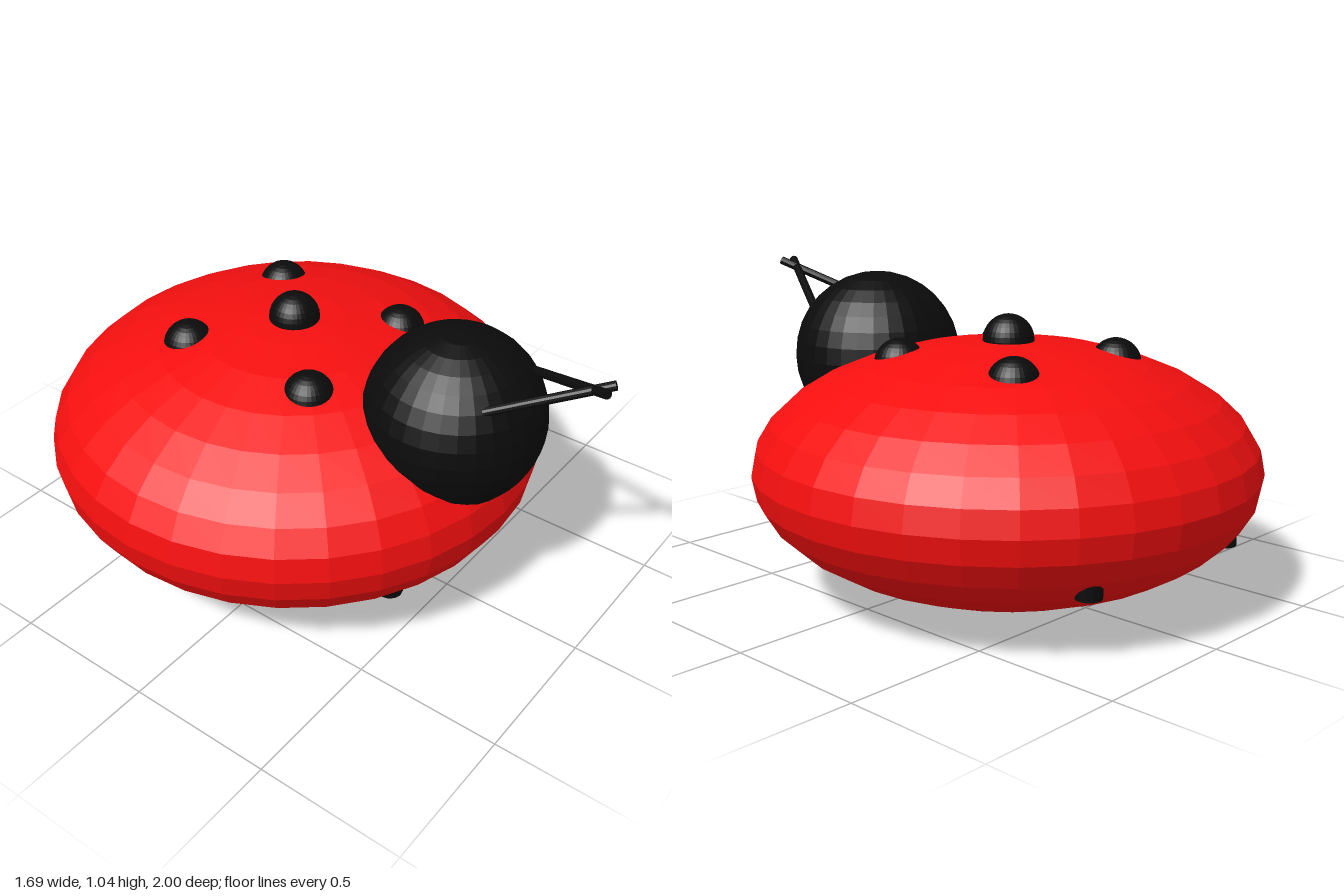
import * as THREE from 'three';

export function createModel() {
  const model = new THREE.Group();
  const red = new THREE.MeshStandardMaterial({ color: 0xf50f0f, flatShading: true });
  const black = new THREE.MeshStandardMaterial({ color: 0x0b0b0b, flatShading: true });

  const add = (name, geometry, material, x, y, z) => {
    const mesh = new THREE.Mesh(geometry, material);
    mesh.name = name;
    mesh.position.set(x, y, z);
    model.add(mesh);
    return mesh;
  };

  // A straight round rod between two points
  const rod = (name, from, to, radius) => {
    const dir = to.clone().sub(from);
    const mid = from.clone().add(to).multiplyScalar(0.5);
    const mesh = add(name, new THREE.CylinderGeometry(radius, radius, dir.length(), 12), black, mid.x, mid.y, mid.z);
    mesh.quaternion.setFromUnitVectors(new THREE.Vector3(0, 1, 0), dir.normalize());
  };

  // Flattened round shell
  const shell = new THREE.SphereGeometry(0.845, 32, 16);
  shell.scale(1, 0.42 / 0.845, 1);
  add('body', shell, red, 0, 0.425, -0.15);

  // Head, sunk into the front of the shell
  add('head', new THREE.SphereGeometry(0.295, 32, 16), black, 0, 0.725, 0.485);

  // One raised spot in the middle, four sunk ones around it
  const spot = new THREE.SphereGeometry(0.085, 32, 16);
  add('centreSpot', spot, black, 0, 0.845, -0.155);

  const foot = new THREE.CylinderGeometry(0.042, 0.042, 0.16, 12);
  for (const side of [-1, 1]) {
    const label = side > 0 ? 'left' : 'right';
    add(label + 'FrontSpot', spot, black, side * 0.25, 0.765, 0.1);
    add(label + 'BackSpot', spot, black, side * 0.25, 0.765, -0.405);

    // Stubby feet barely showing below the shell
    add(label + 'FrontFoot', foot, black, side * 0.345, 0.315, 0.495);
    add(label + 'BackFoot', foot, black, side * 0.345, 0.283, -0.787);

    // Antennae cross at their tips
    rod(label + 'Antenna',
      new THREE.Vector3(side * 0.15, 0.88, 0.65),
      new THREE.Vector3(side * -0.028, 1.026, 0.993), 0.015);
  }
  return model;
}
